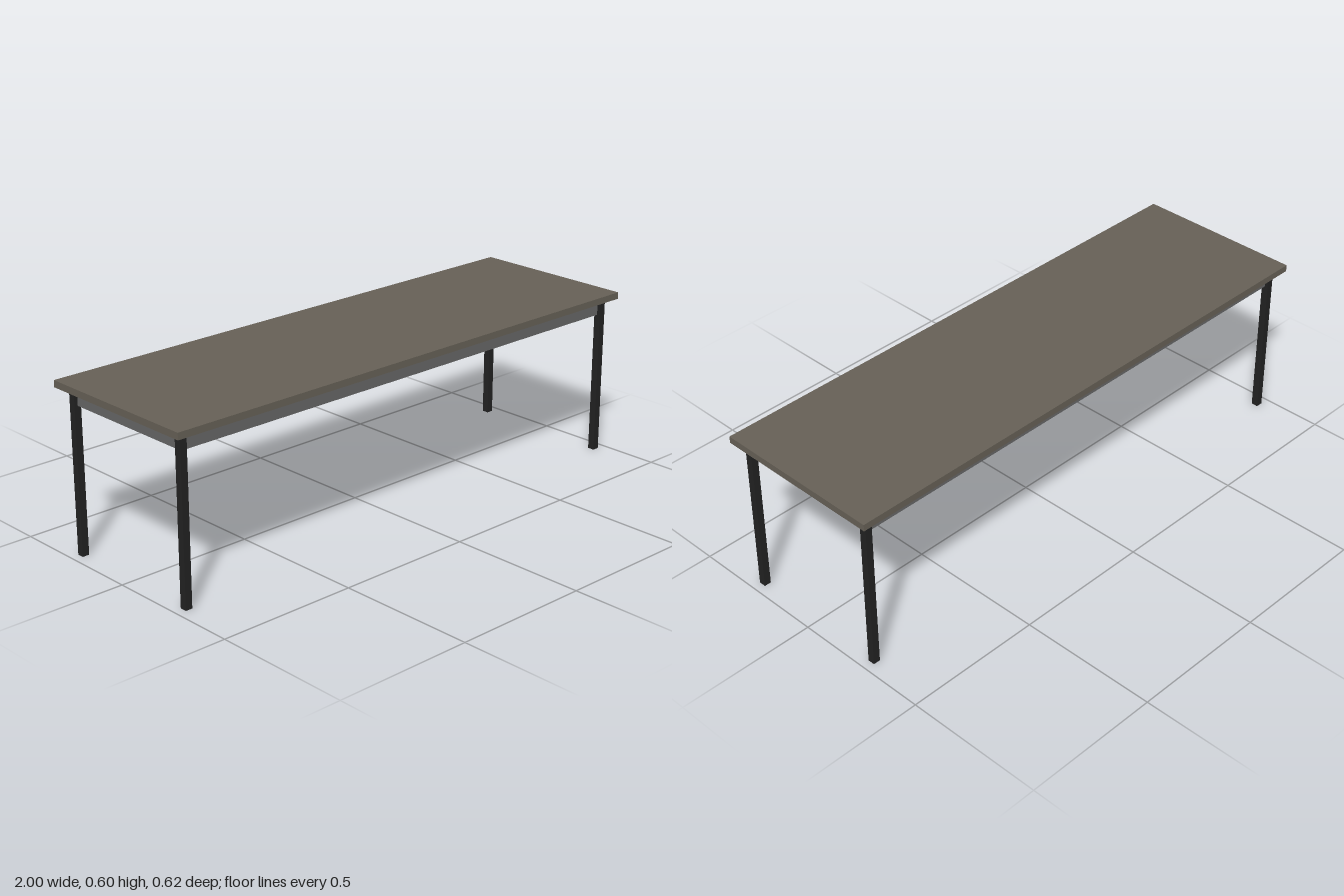
import * as THREE from 'three';

export function createModel() {
  const model = new THREE.Group();
  model.name = 'table';

  const topMat = new THREE.MeshStandardMaterial({ color: 0x666056 });
  const apronMat = new THREE.MeshStandardMaterial({ color: 0x666666 });
  const legMat = new THREE.MeshStandardMaterial({ color: 0x222222 });

  // Box spanning the heights y0 to y1
  function addBox(name, material, width, depth, y0, y1, x = 0, z = 0) {
    const mesh = new THREE.Mesh(new THREE.BoxGeometry(width, y1 - y0, depth), material);
    mesh.name = name;
    mesh.position.set(x, (y0 + y1) / 2, z);
    model.add(mesh);
  }

  const height = 0.599, underside = 0.575;

  // Overhanging slab and the solid apron beneath it
  addBox('tableTop', topMat, 2, 0.62, underside, height);
  addBox('apron', apronMat, 1.91, 0.53, 0.517, underside);

  // Square legs at the four corners
  for (const [side, sx] of [['Left', 1], ['Right', -1]]) {
    for (const [end, sz] of [['front', 1], ['back', -1]]) {
      addBox(end + side + 'Leg', legMat, 0.025, 0.025, 0, underside, sx * 0.955, sz * 0.265);
    }
  }
  return model;
}
